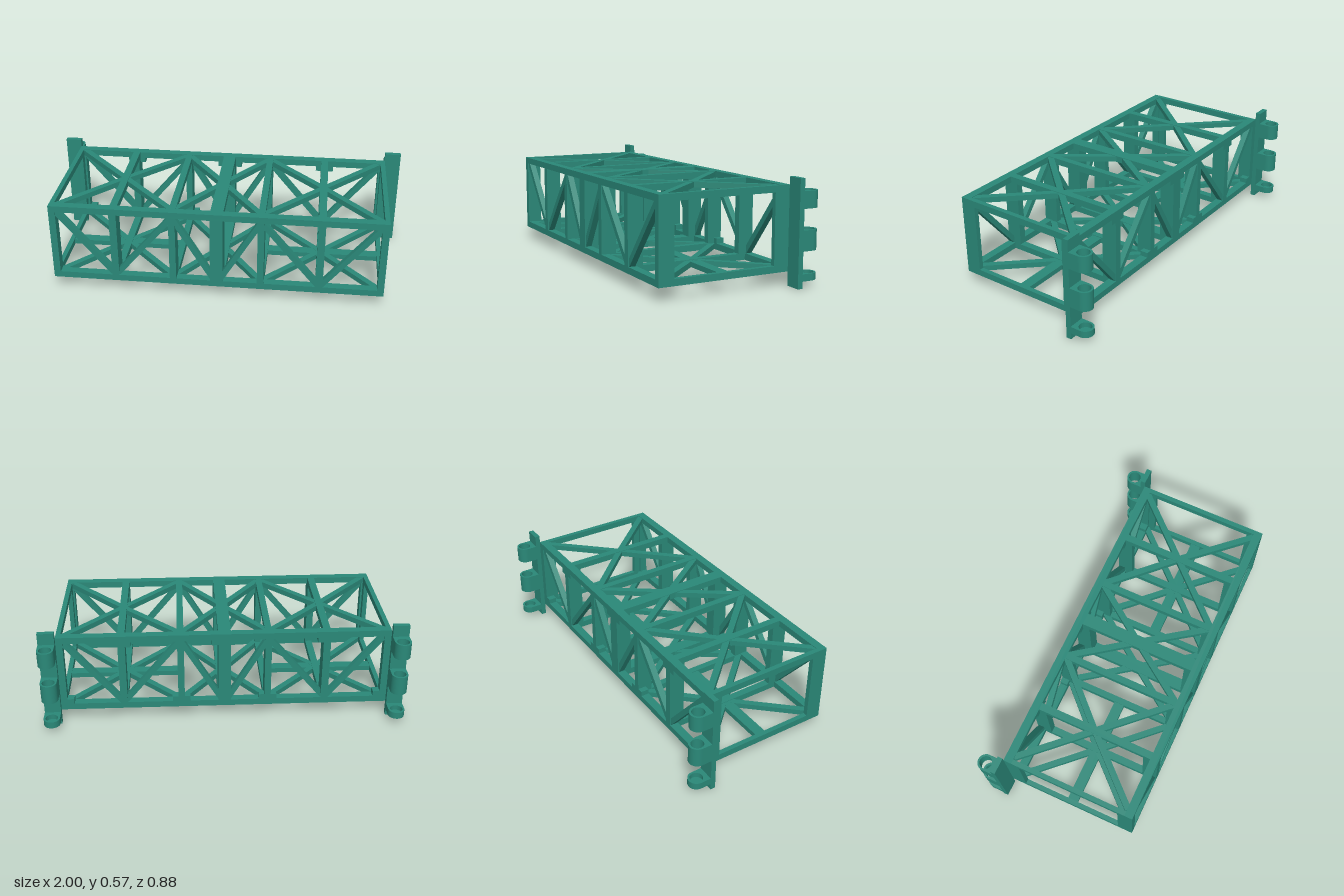
import * as THREE from 'three';

export function createModel() {
  const model = new THREE.Group();
  model.name = 'trussFrame';
  const material = new THREE.MeshStandardMaterial({ color: 0x2a8878, flatShading: true });
  const smooth = new THREE.MeshStandardMaterial({ color: 0x2a8878 });

  const add = (name, geometry, parent = model, mat = material) => {
    const mesh = new THREE.Mesh(geometry, mat);
    mesh.name = name;
    parent.add(mesh);
    return mesh;
  };
  // Box given by its minimum and maximum corners
  const block = (name, x0, x1, y0, y1, z0, z1, parent) => {
    const mesh = add(name, new THREE.BoxGeometry(x1 - x0, y1 - y0, z1 - z0), parent);
    mesh.position.set((x0 + x1) / 2, (y0 + y1) / 2, (z0 + z1) / 2);
    return mesh;
  };
  // Bar in the xy plane between two points
  const strut = (name, x0, y0, x1, y1, width, depth, parent) => {
    const mesh = add(name, new THREE.BoxGeometry(Math.hypot(x1 - x0, y1 - y0), width, depth), parent);
    mesh.position.set((x0 + x1) / 2, (y0 + y1) / 2, 0);
    mesh.rotation.z = Math.atan2(y1 - y0, x1 - x0);
    return mesh;
  };

  const W = 0.91, Y0 = 0.075, Y1 = 0.525, T = 0.036, D = 0.046;
  const ZB = -0.31, ZF = 0.44, ZM = 0.06;
  const verticals = [[-0.56, 0.04], [-0.24, 0.036], [0, 0.07], [0.24, 0.036], [0.56, 0.04]];

  // Front and back side trusses
  for (const [side, z0, z1, inward] of [['front', ZF - D, ZF, -1], ['back', ZB, ZB + D, 1]]) {
    const truss = new THREE.Group();
    truss.name = side + 'Truss';
    model.add(truss);
    const p0 = inward > 0 ? z0 : z1 - 0.086, p1 = inward > 0 ? z0 + 0.086 : z1;
    block('bottomChord', -W, W, Y0, Y0 + T, z0, z1, truss);
    block('topChord', -W, W, Y1 - T, Y1, z0, z1, truss);
    for (const s of [-1, 1]) {
      const a = s * W, b = s * (W - 0.037), c = s * (W - 0.026);
      block('cornerPost', Math.min(a, b), Math.max(a, b), Y0 + T, Y1 - T, z0, z1, truss);
      block('cornerPostFlange', Math.min(a, c), Math.max(a, c), Y0 + T, Y1 - T, p0, p1, truss);
      // Zigzag diagonals
      const path = [[0.875, 0.49], [0.56, 0.105], [0.24, 0.49], [0, 0.085]];
      for (let i = 0; i < 3; i++) {
        const [x0, y0] = path[i], [x1, y1] = path[i + 1];
        strut('diagonal', s * x0, y0, s * x1, y1, 0.03, D - 0.012, truss)
          .position.z = (z0 + z1) / 2;
      }
    }
    for (const [x, w] of verticals)
      block('vertical', x - w / 2, x + w / 2, Y0 + T, Y1 - T, p0, p1, truss);
  }

  // Joint plates on the back truss
  for (const [x, w] of [[-0.56, 0.1], [0, 0.14], [0.56, 0.1]])
    block('topGusset', x - w / 2, x + w / 2, 0.46, Y1 - T, ZB, ZB + D);
  for (const [x, w] of [[-0.855, 0.04], [-0.24, 0.1], [0.24, 0.1], [0.855, 0.04]])
    block('bottomGusset', x - w / 2, x + w / 2, Y0 + T, 0.14, ZB, ZB + D);

  // Top and bottom panels: cross beams and crossing diagonals
  for (const [level, y] of [['top', Y1 - T], ['bottom', Y0]]) {
    const panel = new THREE.Group();
    panel.name = level + 'Panel';
    model.add(panel);
    const beams = [...verticals, [-W + 0.013, 0.026], [W - 0.013, 0.026]];
    for (const [x, w] of beams)
      block('crossBeam', x - w / 2, x + w / 2, y, y + T, ZB + D, ZF - D, panel);
    for (const s of [-1, 1]) for (const z of [ZB + D - 0.005, ZF - D + 0.005]) {
      const path = [[0.87, z], [0.56, ZM], [0.24, z], [0, ZM]];
      for (let i = 0; i < 3; i++) {
        const [x0, za] = path[i], [x1, zb] = path[i + 1];
        const bar = strut('panelDiagonal', s * x0, 0, s * x1, 0, 0.032, 0.034, panel);
        const dx = s * (x1 - x0), dz = zb - za;
        bar.geometry.dispose();
        bar.geometry = new THREE.BoxGeometry(Math.hypot(dx, dz), T - 0.006, 0.034);
        bar.position.set(s * (x0 + x1) / 2, y + T / 2, (za + zb) / 2);
        bar.rotation.set(0, Math.atan2(-dz, dx), 0);
      }
    }
  }

  // Lengthwise floor strips, open around the middle post
  for (const s of [-1, 1]) {
    const a = s * 0.885, b = s * 0.24;
    block('floorStrip', Math.min(a, b), Math.max(a, b), Y0 + 0.004, Y0 + T - 0.004, ZM - 0.03, ZM + 0.03);
  }

  // Hinge knuckle: a lug with a rounded end, optionally bored
  const R = 0.045, CZ = -0.395, PLATE = -0.337;
  const lug = (height, bored) => {
    const shape = new THREE.Shape();
    const back = PLATE - CZ;
    shape.moveTo(-R, -back);
    shape.lineTo(R, -back);
    shape.lineTo(R, 0);
    shape.absarc(0, 0, R, 0, Math.PI, false);
    shape.lineTo(-R, -back);
    if (bored) {
      const hole = new THREE.Path();
      hole.absarc(0, 0, 0.034, 0, Math.PI * 2, true);
      shape.holes.push(hole);
    }
    const g = new THREE.ExtrudeGeometry(shape, { depth: height, bevelEnabled: false, curveSegments: 24 });
    return g.rotateX(-Math.PI / 2);
  };

  // Hinge plates on the back corners
  for (const s of [-1, 1]) {
    const hinge = new THREE.Group();
    hinge.name = s > 0 ? 'leftHinge' : 'rightHinge';
    hinge.position.x = s * 0.955;
    model.add(hinge);
    block('hingePlate', -R, R, 0, 0.566, PLATE, -0.309, hinge);
    for (const [y0, y1, bored] of [[0.037, 0.047, false], [0.047, 0.075, true], [0.192, 0.3, true], [0.41, 0.5, true]])
      add('knuckle', lug(y1 - y0, bored), hinge, smooth).position.set(0, y0, CZ);
  }
  return model;
}
